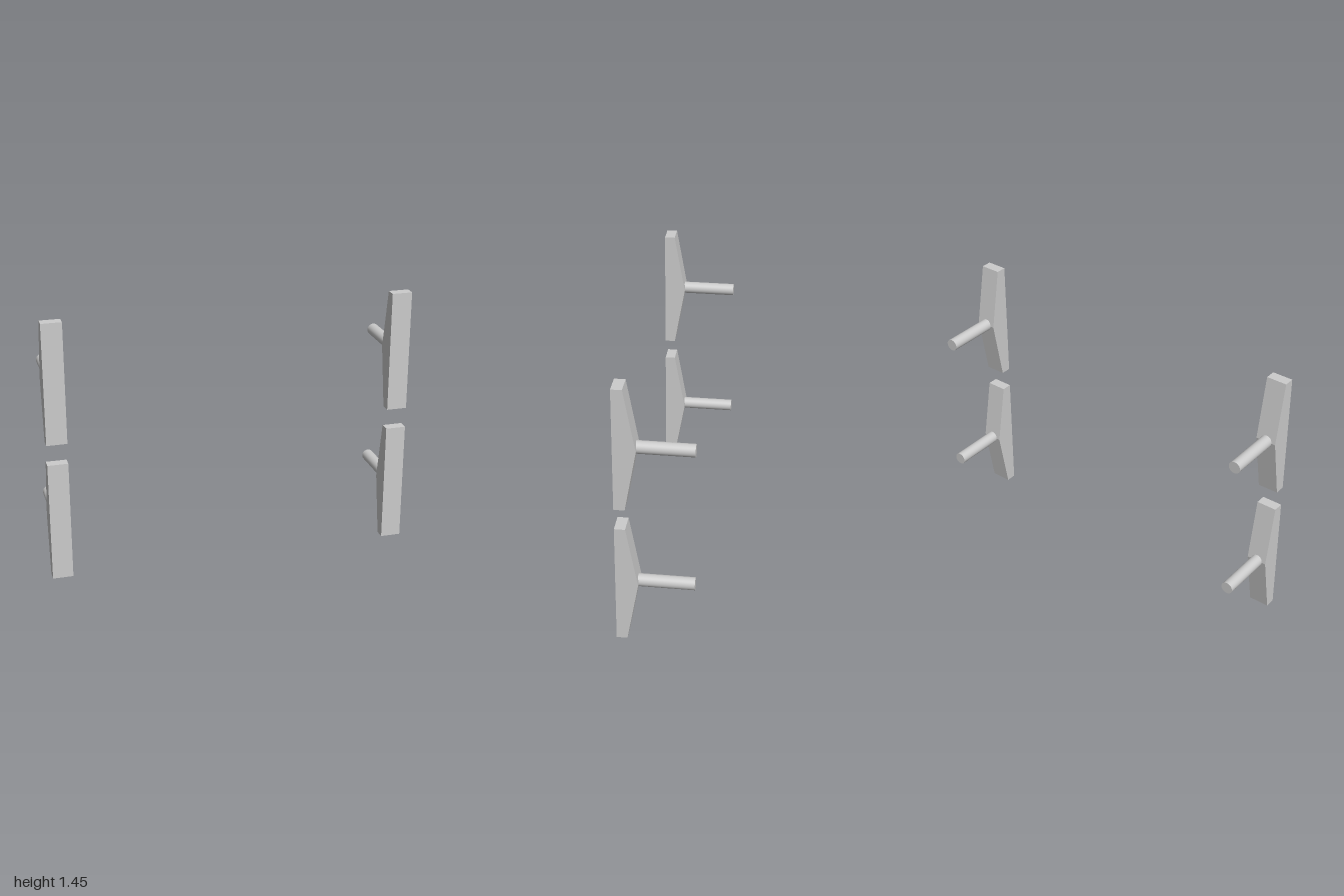
import * as THREE from 'three';

export function createModel() {
  const model = new THREE.Group();
  const material = new THREE.MeshStandardMaterial({ color: 0xcccccc });
  const width = 0.111, half = 0.333, front = 0.2, back = -0.2, ridge = 0.084;

  // Side profile of a plate: flat front, back sloping to a ridge at mid height
  const profile = new THREE.Shape([
    [front, -half], [front, half], [0.144, half], [ridge, 0], [0.144, -half],
  ].map(([z, y]) => new THREE.Vector2(-z, y)));
  const plateGeometry = new THREE.ExtrudeGeometry(profile, { depth: width, bevelEnabled: false });
  plateGeometry.translate(0, 0, -width / 2).rotateY(Math.PI / 2); // profile -z axis onto model z

  // Round peg, sunk slightly into the plate
  const pegFront = ridge + 0.03;
  const pegGeometry = new THREE.CylinderGeometry(0.033, 0.033, pegFront - back, 32);
  pegGeometry.rotateX(Math.PI / 2).translate(0, 0, (pegFront + back) / 2);

  // Two handles on each side, one above the other
  for (const [side, sign] of [['left', 1], ['right', -1]]) {
    for (const [level, y] of [['Lower', half], ['Upper', 1.112]]) {
      const handle = new THREE.Group();
      handle.name = `${side}${level}Handle`;
      const plate = new THREE.Mesh(plateGeometry, material);
      plate.name = 'plate';
      const peg = new THREE.Mesh(pegGeometry, material);
      peg.name = 'peg';
      handle.add(plate, peg);
      handle.position.set(sign * (1 - width / 2), y, 0);
      model.add(handle);
    }
  }
  return model;
}
